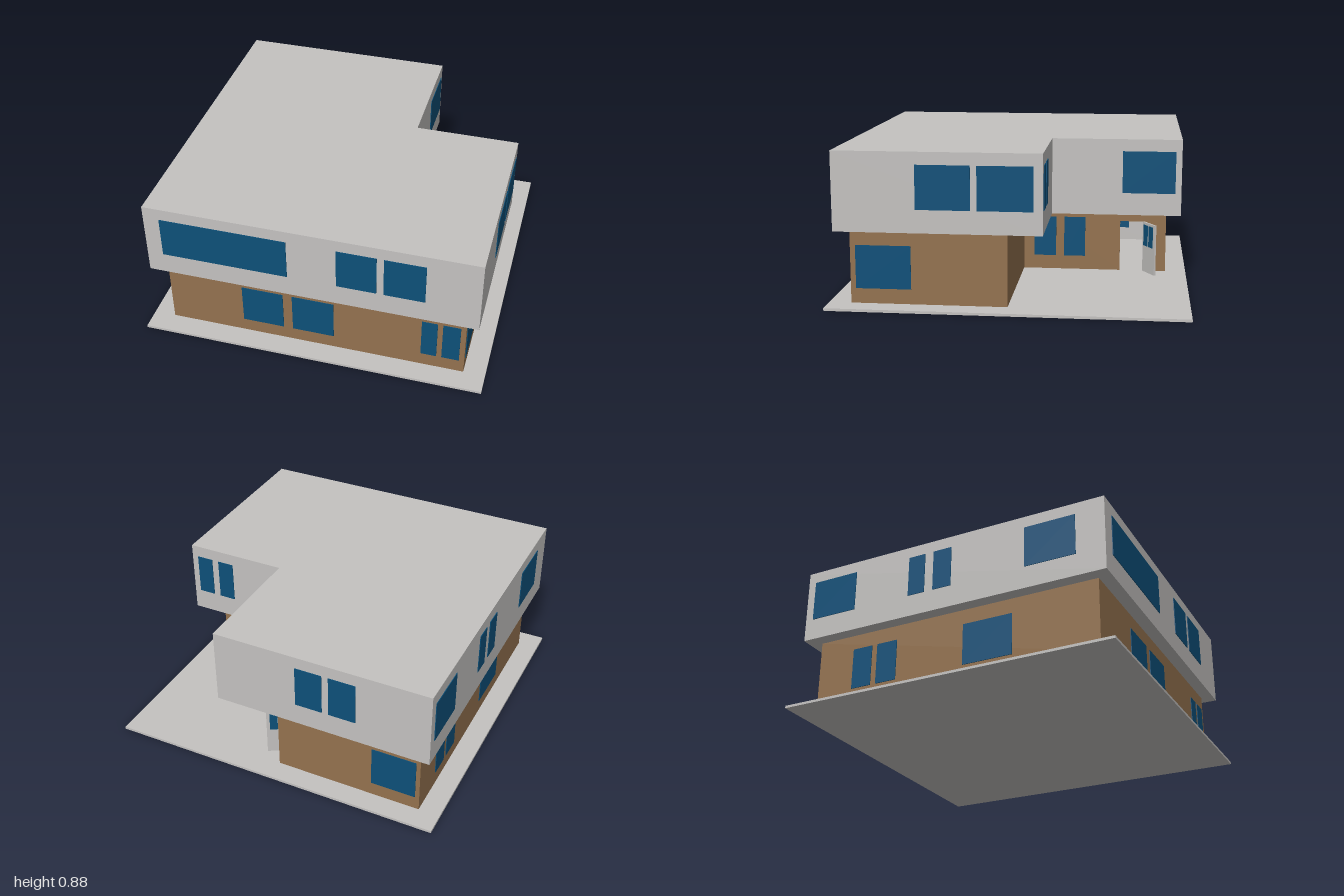
import * as THREE from 'three';

const mat = (name, color) => {
  const m = new THREE.MeshStandardMaterial({ color });
  m.name = name;
  return m;
};

export function createModel() {
  const grey = mat('pale grey', 0xc4c2c0);
  const brown = mat('timber brown', 0x94724f);
  const blue = mat('window blue', 0x0d5079);
  const house = new THREE.Group();
  house.name = 'house';

  const add = (parent, name, geometry, material) => {
    const mesh = new THREE.Mesh(geometry, material);
    mesh.name = name;
    parent.add(mesh);
    return mesh;
  };
  // Box given by its lower and upper corners
  const block = (parent, name, material, a, b) => {
    const mesh = add(parent, name, new THREE.BoxGeometry(b[0] - a[0], b[1] - a[1], b[2] - a[2]), material);
    mesh.position.set((a[0] + b[0]) / 2, (a[1] + b[1]) / 2, (a[2] + b[2]) / 2);
    return mesh;
  };
  // Floor plan of [x, z] points raised from y0 to y1
  const raise = (name, material, plan, y0, y1) => {
    const shape = new THREE.Shape(plan.map(([x, z]) => new THREE.Vector2(x, -z)));
    const geometry = new THREE.ExtrudeGeometry(shape, { depth: y1 - y0, bevelEnabled: false });
    geometry.rotateX(-Math.PI / 2).translate(0, y0, 0);
    return add(house, name, geometry, material);
  };

  // Ground slab and upper storey
  const base = 0.015, floor = 0.435, roof = 0.88;
  block(house, 'groundSlab', grey, [-1, 0, -1], [1, base, 1]);
  const u = 0.95;
  raise('upperStorey', grey, [[-u, u], [u, u], [u, -0.2], [0.34, -0.2], [0.34, -u], [-u, -u]], floor, roof);

  // Hollow lower storey: L-shaped walls left open at the doorway
  const l = 0.875, doorA = -0.74, doorB = -0.595, doorTop = 0.325;
  const outline = (i) => [
    [-i, doorB], [-i, i], [l - i, i], [l - i, l - i],
    [-l + i, l - i], [-l + i, -l + i], [-i, -l + i], [-i, doorA],
  ];
  const layers = [['lowerWalls', brown, 0, 0.01], ['innerLining', grey, 0.01, 0.02]];
  for (const [name, material, i, j] of layers) {
    raise(name, material, [...outline(i), ...outline(j).reverse()], base, floor);
    block(house, name + 'Lintel', material, [-j, doorTop, doorA], [-i, floor, doorB]);
  }

  // Windows: wall axis, wall position, outward sign, then spans along the wall
  const windows = (name, axis, at, out, y0, y1, depth, spans) => {
    const group = new THREE.Group();
    group.name = name;
    house.add(group);
    const p = at + out * 0.004, q = p - out * depth;
    const lo = Math.min(p, q), hi = Math.max(p, q);
    for (const [s, e] of spans) {
      if (axis === 'x') block(group, 'windowPane', blue, [lo, y0, s], [hi, y1, e]);
      else block(group, 'windowPane', blue, [s, y0, lo], [e, y1, hi]);
    }
  };
  const upper = (name, axis, at, out, spans) => windows(name, axis, at, out, 0.565, 0.81, 0.008, spans);
  const lower = (name, axis, at, out, spans) => windows(name, axis, at, out, 0.1, 0.345, 0.028, spans);

  upper('upperFrontWindows', 'z', u, 1, [[-0.855, -0.125], [0.155, 0.38], [0.42, 0.65]]);
  upper('upperLeftWindows', 'x', u, 1, [[0.19, 0.49], [-0.15, 0.155]]);
  upper('upperCourtSideWindow', 'x', 0.34, 1, [[-0.915, -0.61]]);
  upper('upperCourtBackWindows', 'z', -0.2, -1, [[0.666, 0.766], [0.81, 0.91]]);
  upper('upperBackWindows', 'z', -u, -1, [[-0.52, -0.36], [-0.32, -0.16]]);
  upper('upperRightWindows', 'x', -u, -1, [[-0.9, -0.61], [-0.25, -0.145], [-0.09, 0.025], [0.48, 0.78]]);

  lower('lowerFrontWindows', 'z', l, 1, [[-0.43, -0.185], [-0.13, 0.115], [0.625, 0.715], [0.745, 0.845]]);
  lower('lowerLeftWindow', 'x', l, 1, [[0.535, 0.845]]);
  lower('lowerCourtWindows', 'x', 0, 1, [[-0.2, -0.065], [-0.38, -0.25]]);
  lower('lowerBackWindow', 'z', -l, -1, [[-0.85, -0.585]]);
  lower('lowerRightWindows', 'x', -l, -1, [[-0.645, -0.52], [-0.485, -0.355], [0.07, 0.37]]);

  // Door leaf standing open on its hinge
  const door = new THREE.Group();
  door.name = 'openDoor';
  door.position.set(0, 0, doorA);
  door.rotation.y = 0.545;
  block(door, 'doorLeaf', grey, [0, base, -0.006], [0.135, doorTop, 0.006]);
  for (const [s, e] of [[0.012, 0.058], [0.07, 0.116]]) {
    for (const z of [-0.007, 0.007]) {
      block(door, 'doorPane', blue, [s, 0.18, z - 0.002], [e, 0.31, z + 0.002]);
    }
  }
  house.add(door);
  return house;
}
